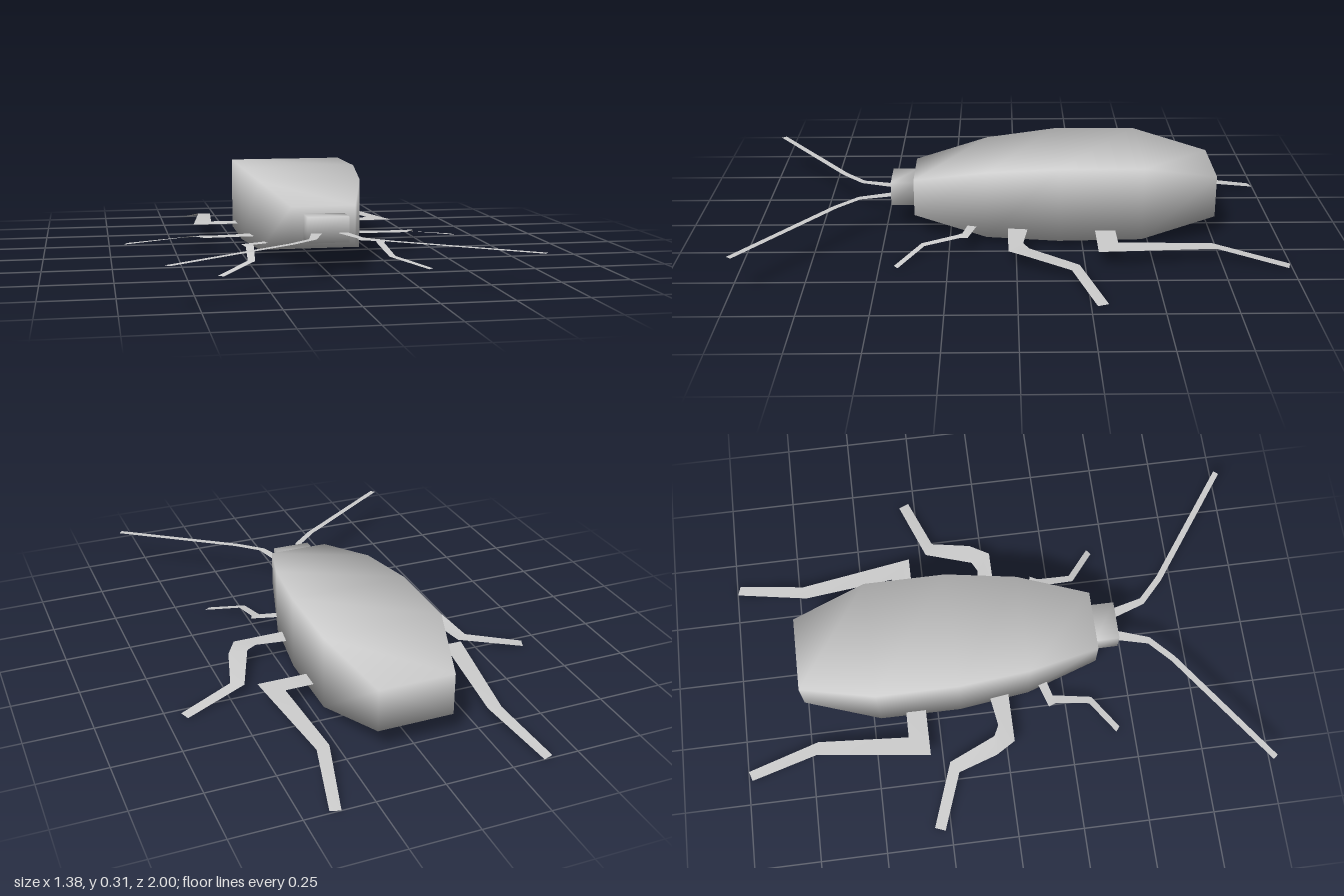
import * as THREE from 'three';

// Builds an indexed, smooth-shaded surface from points and triangles
function surface(points, index) {
  const g = new THREE.BufferGeometry();
  g.setAttribute('position', new THREE.Float32BufferAttribute(points.flat(), 3));
  g.setIndex(index);
  g.computeVertexNormals();
  return g;
}

// Rectangular sections, front to back: [z, half width, bottom, top]
function loft(sections, cx) {
  const points = [], index = [0, 1, 2, 0, 2, 3];
  sections.forEach(([z, w, lo, hi], i) => {
    points.push([cx + w, hi, z], [cx - w, hi, z], [cx - w, lo, z], [cx + w, lo, z]);
    if (i === 0) return;
    for (let j = 0; j < 4; j++) {
      const k = (j + 1) % 4, f = (i - 1) * 4, r = i * 4;
      index.push(f + j, r + k, f + k, f + j, r + j, r + k);
    }
  });
  const e = (sections.length - 1) * 4;
  index.push(e, e + 2, e + 1, e, e + 3, e + 2);
  return surface(points, index);
}

// Flat ribbon through pairs of edge points: [height, xA, zA, xB, zB]
function ribbon(pairs, side) {
  const points = [], index = [];
  pairs.forEach(([y, xa, za, xb, zb], i) => {
    const a = [side * xa, y, za], b = [side * xb, y, zb];
    if (side > 0) points.push(a, b);
    else points.push(b, a);
    const n = i * 2;
    if (i > 0) index.push(n - 2, n - 1, n, n - 1, n + 1, n);
  });
  return surface(points, index);
}

export function createModel() {
  const group = new THREE.Group();
  const grey = new THREE.MeshStandardMaterial({ color: 0xcccccc, side: THREE.DoubleSide });
  grey.name = 'shell grey';
  const add = (name, geometry) => {
    const mesh = new THREE.Mesh(geometry, grey);
    mesh.name = name;
    group.add(mesh);
  };

  // Long tapered body and small square head
  add('body', loft([
    [0.385, 0.115, 0.088, 0.23],
    [0.11, 0.192, 0.03, 0.29],
    [-0.16, 0.226, 0.028, 0.315],
    [-0.47, 0.226, 0.033, 0.315],
    [-0.755, 0.142, 0.088, 0.25],
  ], -0.004));
  add('head', loft([
    [0.475, 0.074, 0.112, 0.204],
    [0.38, 0.074, 0.112, 0.204],
  ], -0.004));

  // Paired limbs, given for the left side and mirrored
  const limbs = {
    HindLeg: [
      [0.07, 0.15, -0.37, 0.15, -0.295],
      [0.07, 0.33, -0.372, 0.41, -0.295],
      [0.052, 0.30, -0.72, 0.35, -0.73],
      [0, 0.37, -1.0, 0.407, -0.988],
    ],
    MiddleLeg: [
      [0.07, 0.13, -0.055, 0.13, 0.03],
      [0.068, 0.325, -0.025, 0.395, 0.03],
      [0.065, 0.365, -0.045, 0.44, -0.045],
      [0.033, 0.437, -0.225, 0.482, -0.195],
      [0, 0.677, -0.312, 0.692, -0.273],
    ],
    FrontLeg: [
      [0.07, 0.12, 0.13, 0.12, 0.17],
      [0.066, 0.275, 0.18, 0.232, 0.2],
      [0.06, 0.262, 0.21, 0.233, 0.22],
      [0.033, 0.272, 0.34, 0.247, 0.352],
      [0, 0.39, 0.432, 0.37, 0.447],
    ],
    Antenna: [
      [0.147, 0.06, 0.45, 0.018, 0.45],
      [0.147, 0.095, 0.59, 0.07, 0.6],
      [0.147, 0.177, 0.668, 0.16, 0.685],
      [0.147, 0.608, 0.98, 0.594, 0.998],
    ],
  };
  for (const [name, pairs] of Object.entries(limbs)) {
    add('left' + name, ribbon(pairs, 1));
    add('right' + name, ribbon(pairs, -1));
  }
  return group;
}
